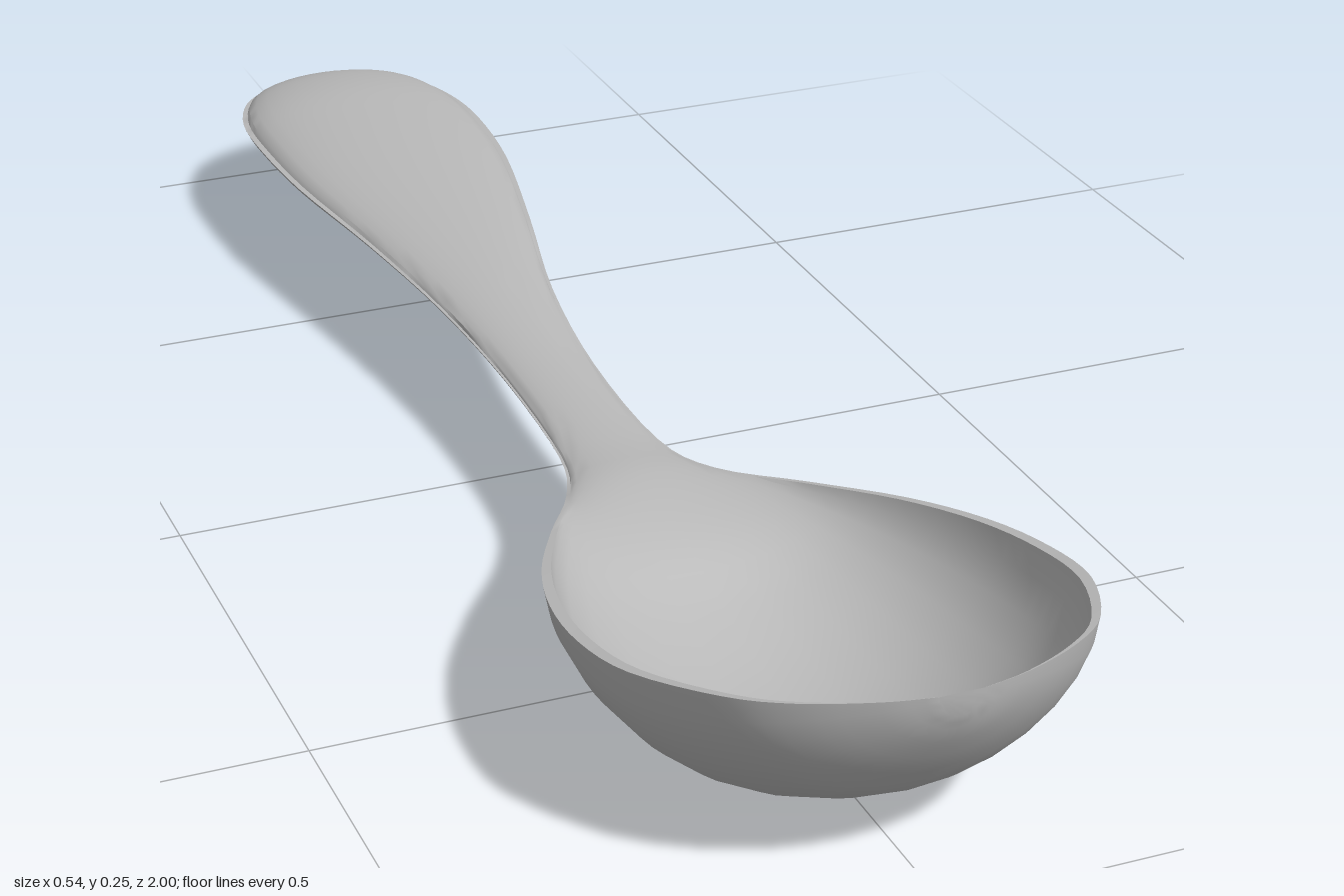
import * as THREE from 'three';
import { toCreasedNormals } from 'three/addons/utils/BufferGeometryUtils.js';

// Stations from handle end to bowl tip: z, left edge, right edge, edge height, top centre, underside
const STATIONS = [
  [-1.0, -0.035, 0.025, 0.132, 0.139, 0.122],
  [-0.975, -0.09, 0.08, 0.135, 0.152, 0.112],
  [-0.93, -0.132, 0.122, 0.138, 0.166, 0.105],
  [-0.85, -0.16, 0.146, 0.142, 0.176, 0.101],
  [-0.75, -0.166, 0.152, 0.145, 0.177, 0.104],
  [-0.6, -0.158, 0.138, 0.146, 0.174, 0.112],
  [-0.4, -0.128, 0.096, 0.144, 0.167, 0.120],
  [-0.2, -0.102, 0.05, 0.138, 0.158, 0.119],
  [0.0, -0.09, 0.026, 0.130, 0.146, 0.113],
  [0.2, -0.098, 0.025, 0.126, 0.140, 0.110],
  [0.3, -0.128, 0.054, 0.132, 0.140, 0.108],
  [0.4, -0.185, 0.125, 0.150, 0.116, 0.088],
  [0.5, -0.235, 0.198, 0.166, 0.068, 0.043],
  [0.6, -0.264, 0.245, 0.181, 0.034, 0.010],
  [0.7, -0.272, 0.265, 0.196, 0.024, 0.0],
  [0.8, -0.258, 0.258, 0.214, 0.042, 0.017],
  [0.9, -0.203, 0.212, 0.232, 0.100, 0.074],
  [0.95, -0.148, 0.158, 0.240, 0.155, 0.128],
  [0.985, -0.075, 0.088, 0.245, 0.215, 0.183],
  [1.0, -0.02, 0.03, 0.247, 0.243, 0.220],
];
const STEPS = 4; // rows between stations
const HALF = 14; // segments across each side of the section

// Lofts closed sections whose top sinks into a bowl or swells into a handle
function spoonGeometry() {
  const outline = new THREE.CatmullRomCurve3(
    STATIONS.map(([z, l, r]) => new THREE.Vector3(l, r, z)), false, 'catmullrom', 0.5);
  const heights = new THREE.CatmullRomCurve3(
    STATIONS.map((s) => new THREE.Vector3(s[3], s[4], s[5])), false, 'catmullrom', 0.5);
  const rows = (STATIONS.length - 1) * STEPS;
  const ring = 2 * HALF + 2;
  const pos = [];
  const index = [];

  for (let i = 0; i <= rows; i++) {
    const { x: left, y: right, z } = outline.getPoint(i / rows);
    const { x: edge, y: top, z: bottom } = heights.getPoint(i / rows);
    const centre = (left + right) / 2;
    const width = (right - left) / 2;
    for (const side of [-1, 1]) { // underside left to right, then top back again
      for (let k = 0; k <= HALF; k++) {
        const a = (k / HALF) * Math.PI;
        const u = side * Math.cos(a);
        const bulge = Math.pow(Math.max(0, Math.sin(a)), 1.1);
        const w = side < 0 ? width : width * 0.95; // narrow lip round the rim
        const y = edge + ((side < 0 ? bottom : top) - edge) * bulge;
        pos.push(centre + u * w, Math.max(0, y), z);
      }
    }
  }
  for (let i = 0; i < rows; i++) {
    for (let j = 0; j < ring; j++) {
      const a = i * ring + j;
      const b = i * ring + (j + 1) % ring;
      index.push(a, b, b + ring, a, b + ring, a + ring);
    }
  }
  // Small caps at both ends
  const last = rows * ring;
  for (let j = 1; j < ring - 1; j++) {
    index.push(0, j + 1, j);
    index.push(last, last + j, last + j + 1);
  }
  const geometry = new THREE.BufferGeometry();
  geometry.setAttribute('position', new THREE.Float32BufferAttribute(pos, 3));
  geometry.setIndex(index);
  return toCreasedNormals(geometry, 0.9);
}

export function createModel() {
  const metal = new THREE.MeshStandardMaterial({ color: 0xb8b8b8 });
  metal.name = 'plain grey';

  const spoon = new THREE.Mesh(spoonGeometry(), metal);
  spoon.name = 'bowlAndHandle';

  const group = new THREE.Group();
  group.name = 'spoon';
  group.add(spoon);
  return group;
}
